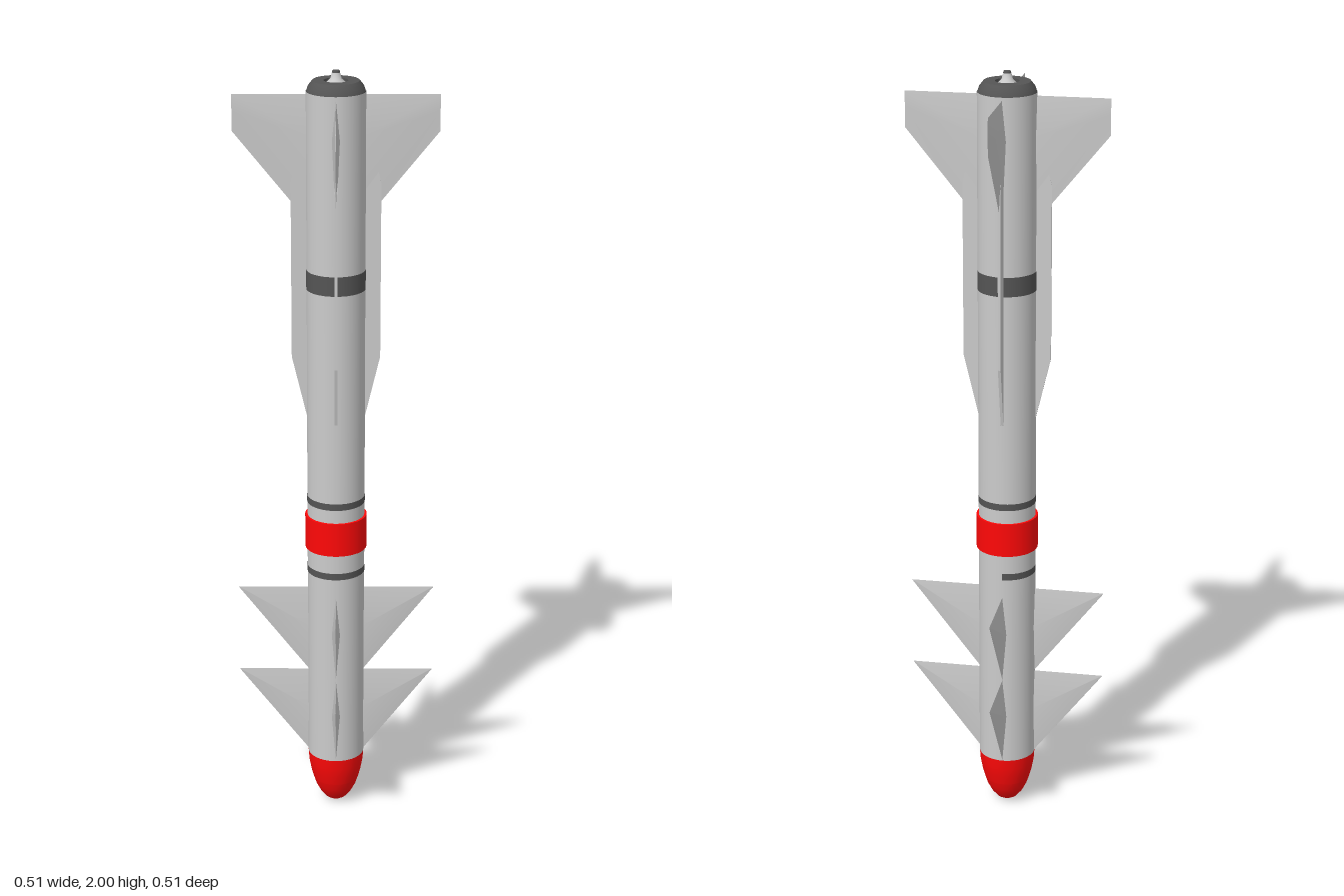
import * as THREE from 'three';

const R = 0.074; // body radius
const SEG = 32;

const material = (color) => new THREE.MeshStandardMaterial({ color, side: THREE.DoubleSide });

function named(name, geometry, mat) {
  const mesh = new THREE.Mesh(geometry, mat);
  mesh.name = name;
  return mesh;
}

// Lathe from [radius, y] pairs, listed bottom to top
const lathe = (points) => new THREE.LatheGeometry(points.map(([r, y]) => new THREE.Vector2(r, y)), SEG);

// One face of a diamond-section fin, lofted outward through stations
// [radius, leading y, thickest y, trailing y, half thickness]
function finSide(stations, side) {
  const positions = [];
  const index = [];
  for (const [r, lead, mid, trail, t] of stations) {
    positions.push(r, lead, 0, r, mid, side * t, r, trail, 0);
  }
  for (let s = 0; s < stations.length - 1; s++) {
    for (let k = 0; k < 2; k++) {
      const a = s * 3 + k, b = a + 3, c = b + 1, d = a + 1;
      if (side > 0) index.push(a, b, c, a, c, d);
      else index.push(a, c, b, a, d, c);
    }
  }
  const geometry = new THREE.BufferGeometry();
  geometry.setAttribute('position', new THREE.Float32BufferAttribute(positions, 3));
  geometry.setIndex(index);
  geometry.computeVertexNormals();
  return geometry;
}

function fin(name, stations, mat) {
  const group = new THREE.Group();
  group.name = name;
  for (const side of [1, -1]) {
    group.add(named(side > 0 ? 'finFaceA' : 'finFaceB', finSide(stations, side), mat));
  }
  return group;
}

export function createModel() {
  const model = new THREE.Group();
  model.name = 'missile';
  const grey = material(0xcccccc);
  const red = material(0xff0808);
  const dark = material(0x555555);

  // Body tube
  const body = named('body', new THREE.CylinderGeometry(R, R, 1.8, SEG, 1, true), grey);
  body.position.y = 1.05;
  model.add(body);

  // Rounded nose in two pieces, pointing down
  model.add(named('noseTip', lathe([[0, 0], [0.014, 0.002], [0.028, 0.011], [0.042, 0.028], [0.053, 0.049], [0.06, 0.07]]), red));
  model.add(named('noseBase', lathe([[0.06, 0.07], [0.067, 0.095], [0.072, 0.122], [R, 0.15]]), red));

  // Raised red collar with closed ends
  const collar = named('collar', new THREE.CylinderGeometry(0.08, 0.08, 0.09, SEG), red);
  collar.position.y = 0.795;
  model.add(collar);

  // Painted bands; the lowest leaves one quarter open
  const bands = [
    [0.69, 0.018, Math.PI, Math.PI * 1.5],
    [0.885, 0.018, 0, Math.PI * 2],
    [1.475, 0.05, 0, Math.PI * 2],
  ];
  for (const [y, height, start, length] of bands) {
    const band = named('band', new THREE.CylinderGeometry(R + 0.0008, R + 0.0008, height, SEG, 1, true, start, length), dark);
    band.position.y = y;
    model.add(band);
  }

  // Tail cap with a recessed centre and a small nozzle cone
  model.add(named('tailChamfer', lathe([[R, 1.945], [0.069, 1.962], [0.058, 1.976]]), dark));
  model.add(named('tailCap', lathe([[0.058, 1.976], [0.03, 1.976]]), dark));
  model.add(named('tailRecess', lathe([[0.03, 1.976], [0.03, 1.962]]), dark));
  model.add(named('nozzleCone', lathe([[0.03, 1.964], [0.014, 1.98], [0.01, 1.995]]), grey));
  const tip = named('nozzleTip', new THREE.CylinderGeometry(0.009, 0.01, 0.005, 16), dark);
  tip.position.y = 1.9975;
  model.add(tip);

  // Flat strake outline in front of each tail fin
  const strakeShape = new THREE.Shape();
  [[0.065, 1.09], [R, 1.11], [0.112, 1.27], [0.112, 1.72], [0.065, 1.92]].forEach(([x, y], i) =>
    i ? strakeShape.lineTo(x, y) : strakeShape.moveTo(x, y));
  const strakeGeometry = new THREE.ExtrudeGeometry(strakeShape, { depth: 0.007, bevelEnabled: false });
  strakeGeometry.translate(0, 0, -0.0035);

  // Four quarters, each with two delta fins, a strake and a tail fin
  for (let i = 0; i < 4; i++) {
    const quarter = new THREE.Group();
    quarter.name = 'finSet';
    quarter.rotation.y = i * Math.PI / 2;
    quarter.add(fin('noseFin', [[0.068, 0.145, 0.28, 0.39, 0.011], [0.255, 0.388, 0.389, 0.39, 0.0004]], grey));
    quarter.add(fin('middleFin', [[0.068, 0.385, 0.52, 0.63, 0.011], [0.255, 0.628, 0.629, 0.63, 0.0004]], grey));
    quarter.add(named('strake', strakeGeometry, grey));
    quarter.add(fin('tailFin', [[0.068, 1.62, 1.84, 1.942, 0.01], [0.255, 1.85, 1.9, 1.942, 0.001]], grey));
    model.add(quarter);
  }
  return model;
}
